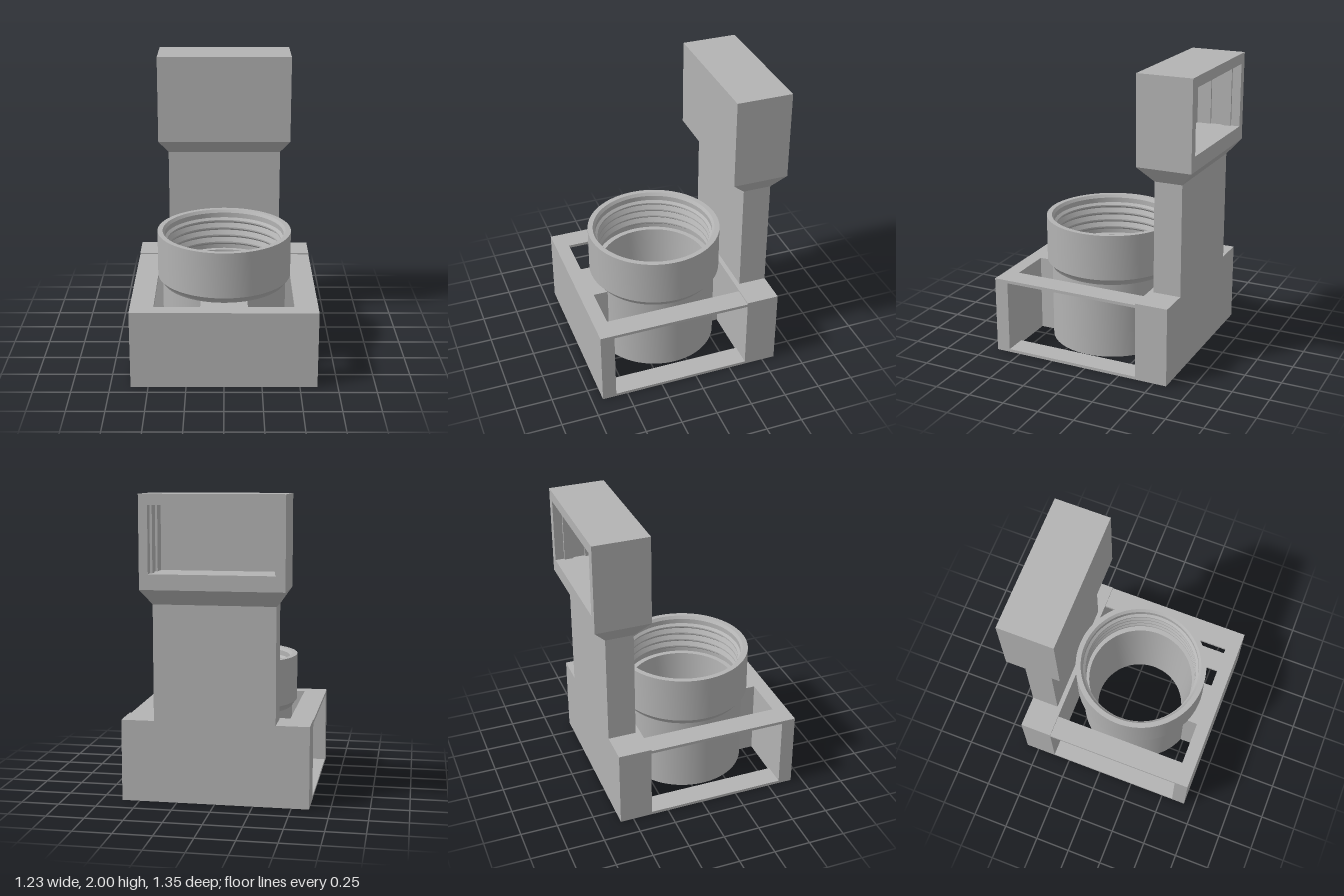
import * as THREE from 'three';
import { toCreasedNormals } from 'three/addons/utils/BufferGeometryUtils.js';

const grey = new THREE.MeshStandardMaterial({ color: 0xb3b3b3 });
grey.name = 'grey plastic';

export function createModel() {
  const model = new THREE.Group();
  model.name = 'holder';

  const add = (name, geometry) => {
    const mesh = new THREE.Mesh(geometry, grey);
    mesh.name = name;
    model.add(mesh);
    return mesh;
  };
  // box given by its limits on each axis
  const box = (name, x0, x1, y0, y1, z0, z1) =>
    add(name, new THREE.BoxGeometry(x1 - x0, y1 - y0, z1 - z0)
      .translate((x0 + x1) / 2, (y0 + y1) / 2, (z0 + z1) / 2));

  // base frame: solid front and back, thin rails along the open sides
  box('frontWall', -0.615, 0.615, 0, 0.53, 0.58, 0.675);
  box('backBlock', -0.615, 0.615, 0, 0.54, -0.59, -0.368);
  for (const [x0, x1] of [[-0.615, -0.46], [0.46, 0.615]]) {
    box('bottomRail', x0, x1, 0, 0.02, -0.368, 0.58);
    box('topRail', x0, x1, 0.51, 0.53, -0.368, 0.58);
  }
  box('frontBridge', -0.155, 0.155, 0, 0.53, 0.48, 0.58);
  box('backBridge', -0.1, 0.1, 0.001, 0.06, -0.368, -0.31);

  // cup: tapered bore, wide threaded collar
  const profile = [
    [0.32, 0], [0.422, 0], [0.422, 0.53], [0.43, 0.545], [0.455, 0.575],
    [0.455, 0.89], [0.42, 0.89], [0.405, 0.87], [0.405, 0.835],
  ];
  for (let i = 0; i < 4; i++) {
    const y = 0.835 - i * 0.055;
    profile.push([0.388, y - 0.015], [0.388, y - 0.025], [0.405, y - 0.04]);
  }
  profile.push([0.405, 0.6], [0.37, 0.6], [0.32, 0]);
  const cup = new THREE.LatheGeometry(profile.map(([r, y]) => new THREE.Vector2(r, y)), 96);
  add('threadedCup', toCreasedNormals(cup, 0.35)).position.z = 0.0875;

  // upright post and the flare that widens it into the head
  box('post', -0.397, 0.397, 0.54, 1.3, -0.59, -0.4);
  const flare = new THREE.BoxGeometry(1, 1, 1);
  const p = flare.attributes.position;
  for (let i = 0; i < p.count; i++) {
    const top = p.getY(i) > 0;
    const back = p.getZ(i) < 0;
    p.setXYZ(i, Math.sign(p.getX(i)) * (top ? 0.463 : 0.397), top ? 1.4 : 1.3,
      back ? (top ? -0.675 : -0.59) : (top ? -0.3 : -0.4));
  }
  flare.computeVertexNormals();
  add('flare', flare);

  // head: box open to the back, with ribbed side walls
  box('headFloor', -0.463, 0.463, 1.4, 1.5, -0.675, -0.3);
  box('headRoof', -0.463, 0.463, 1.93, 2, -0.675, -0.3);
  const ribs = [[0.405, 0.675], [0.405, 0.615], [0.39, 0.615], [0.39, 0.555],
    [0.405, 0.555], [0.405, 0.47], [0.39, 0.47], [0.39, 0.375]];
  const outline = [
    [-0.463, 0.3], [0.463, 0.3], [0.463, 0.675],
    ...ribs,
    ...ribs.map(([x, d]) => [-x, d]).reverse(),
    [-0.463, 0.675],
  ];
  const wallShape = new THREE.Shape(outline.map(([x, d]) => new THREE.Vector2(x, d)));
  const walls = new THREE.ExtrudeGeometry(wallShape, { depth: 0.43, bevelEnabled: false });
  add('headWalls', walls.rotateX(-Math.PI / 2).translate(0, 1.5, 0));

  return model;
}
